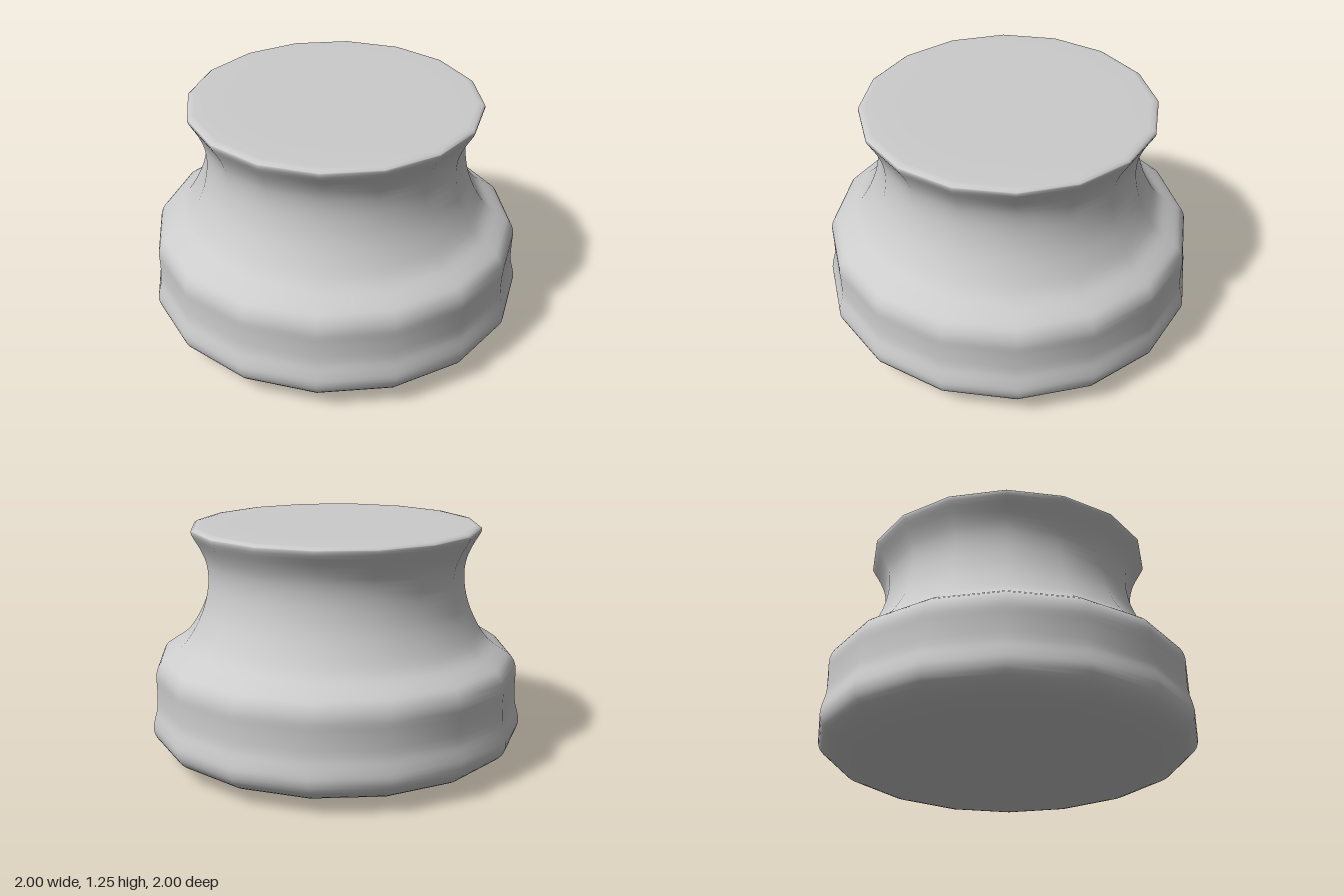
import * as THREE from 'three';

const SIDES = 16;

// Half-profile of the turned body: [radius, height], from the base up to the rim
const WALL = [
  [0.64, 0.008], [0.8, 0.03], [0.92, 0.072], [0.98, 0.12], [1.0, 0.175],
  [0.993, 0.23], [0.976, 0.3], [0.973, 0.4], [0.974, 0.48], [0.95, 0.54],
  [0.9, 0.58], [0.82, 0.635], [0.76, 0.72], [0.71, 0.83], [0.685, 0.95],
  [0.69, 1.05], [0.72, 1.13], [0.763, 1.205], [0.767, 1.23],
].map(([r, y]) => new THREE.Vector2(r, y));

export function createModel() {
  const group = new THREE.Group();
  group.name = 'turnedKnob';
  const material = new THREE.MeshStandardMaterial({ color: 0xcccccc });

  // Smooth wall closed by a nearly flat base and a flat top with a small bevel
  const profile = [
    new THREE.Vector2(0, 0),
    new THREE.Vector2(0.4, 0.001),
    ...new THREE.SplineCurve(WALL).getPoints(54),
    new THREE.Vector2(0.755, 1.239),
    new THREE.Vector2(0.73, 1.243),
    new THREE.Vector2(0.57, 1.246),
    new THREE.Vector2(0, 1.246),
  ];
  const body = new THREE.Mesh(new THREE.LatheGeometry(profile, SIDES), material);
  body.name = 'knobBody';
  group.add(body);
  return group;
}
